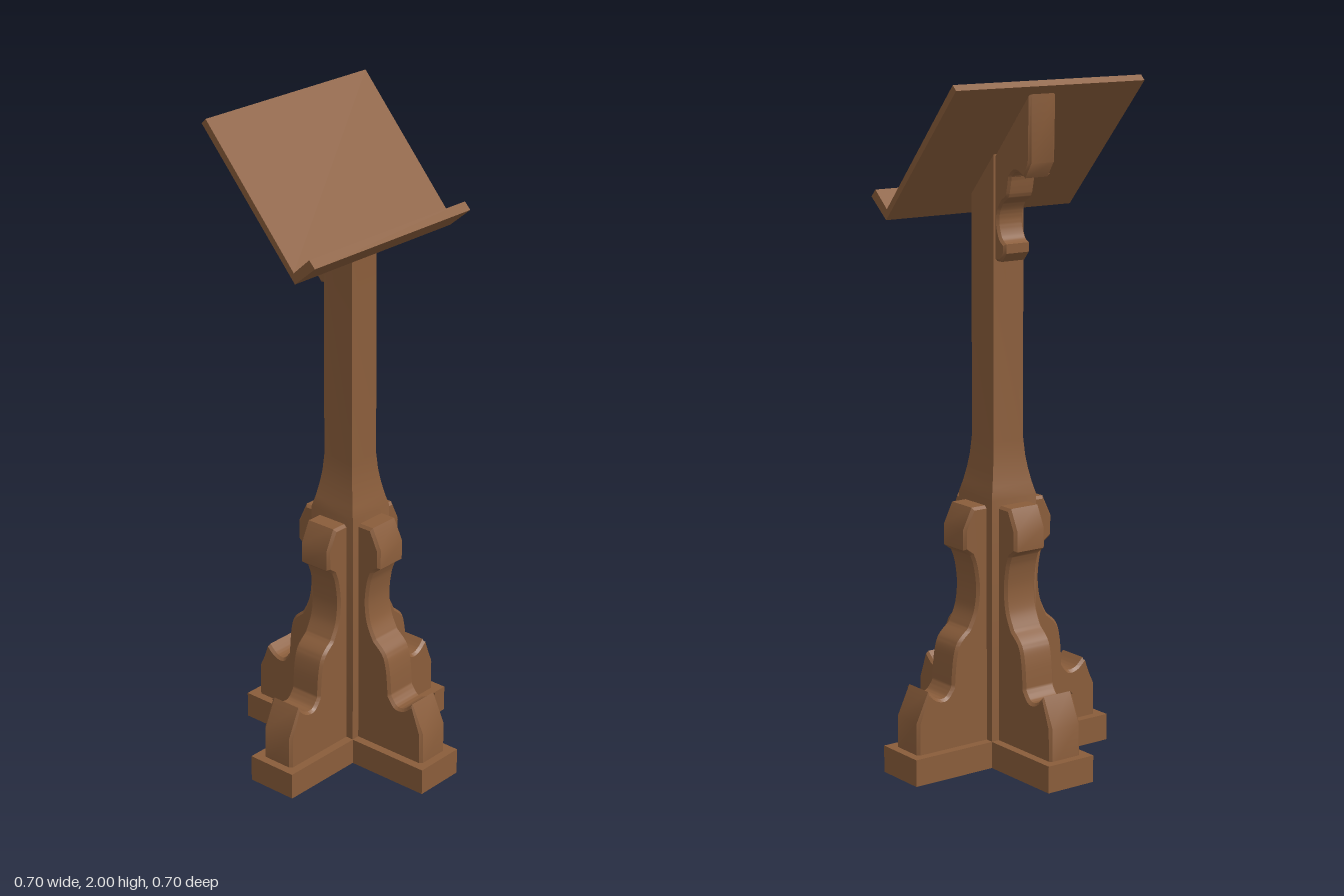
import * as THREE from 'three';
import { toCreasedNormals } from 'three/addons/utils/BufferGeometryUtils.js';

const v = (x, y) => new THREE.Vector2(x, y);

// Height of the underside of the sloping desk at depth z
const deskUnderside = (z) => 1.605 + (0.108 - z) * 1.134;

// Extrudes a profile along z from z0 to z1, with an optional inset bevel
function slab(shape, z0, z1, bevel = 0) {
  const geo = new THREE.ExtrudeGeometry(shape, {
    depth: z1 - z0 - 2 * bevel,
    bevelEnabled: bevel > 0,
    bevelSize: bevel,
    bevelThickness: bevel,
    bevelOffset: -bevel,
    bevelSegments: 1,
    curveSegments: 5,
  });
  geo.translate(0, 0, z0 + bevel);
  return toCreasedNormals(geo, 0.6);
}

// Scrolled foot bracket: x is the distance from the post axis
function footProfile() {
  const s = new THREE.Shape();
  s.moveTo(0.04, 0.06);
  s.lineTo(0.325, 0.06);
  s.lineTo(0.324, 0.175);
  s.lineTo(0.283, 0.262);
  s.splineThru([v(0.255, 0.238), v(0.225, 0.234), v(0.202, 0.26)]);
  s.splineThru([v(0.195, 0.34), v(0.18, 0.39), v(0.143, 0.425)]);
  s.splineThru([v(0.12, 0.475), v(0.112, 0.54), v(0.12, 0.605), v(0.133, 0.642)]);
  s.lineTo(0.158, 0.66);
  s.lineTo(0.158, 0.72);
  s.lineTo(0.128, 0.782);
  s.lineTo(0.04, 0.782);
  return s;
}

// Scrolled bracket under the desk: x is the distance behind the post axis
function deskBracketProfile() {
  const s = new THREE.Shape();
  s.moveTo(0.03, 1.485);
  s.lineTo(0.074, 1.485);
  s.lineTo(0.095, 1.51);
  s.lineTo(0.095, 1.537);
  s.splineThru([v(0.075, 1.552), v(0.062, 1.59), v(0.065, 1.625), v(0.083, 1.655)]);
  s.splineThru([v(0.104, 1.67), v(0.112, 1.695), v(0.118, 1.728)]);
  s.splineThru([v(0.135, 1.743), v(0.155, 1.743), v(0.18, 1.73)]);
  s.lineTo(0.207, 1.772);
  s.lineTo(0.207, deskUnderside(-0.207) + 0.004);
  s.lineTo(0.03, deskUnderside(-0.03) + 0.004);
  return s;
}

export function createModel() {
  const model = new THREE.Group();
  model.name = 'lectern';
  const wood = new THREE.MeshStandardMaterial({ color: 0x8a5d3b });
  wood.name = 'brown wood';

  const add = (name, geo, parent = model) => {
    const mesh = new THREE.Mesh(geo, wood);
    mesh.name = name;
    parent.add(mesh);
    return mesh;
  };

  // Cross-shaped base
  const w = 0.081, r = 0.35;
  const cross = new THREE.Shape([
    v(w, w), v(w, r), v(-w, r), v(-w, w), v(-r, w), v(-r, -w),
    v(-w, -w), v(-w, -r), v(w, -r), v(w, -w), v(r, -w), v(r, w),
  ]);
  add('crossBase', slab(cross, 0, 0.08).rotateX(-Math.PI / 2));

  // Square post with a flare, cut at the top to the slope of the desk
  const half = [
    [0.08, 0.07], [0.08, 0.8], [0.071, 0.835], [0.063, 0.875],
    [0.057, 0.915], [0.053, 0.965], [0.052, 1.7],
  ];
  const postGeo = new THREE.LatheGeometry(
    half.map(([h, y]) => v(h * Math.SQRT2, y)), 4, Math.PI / 4);
  const p = postGeo.attributes.position;
  for (let i = 0; i < p.count; i++) {
    if (p.getY(i) > 1.6) p.setY(i, deskUnderside(p.getZ(i)) + 0.004);
  }
  add('post', toCreasedNormals(postGeo, 0.5));

  // Four foot brackets around the post
  const feet = new THREE.Group();
  feet.name = 'footBrackets';
  model.add(feet);
  const footGeo = slab(footProfile(), -0.055, 0.055, 0.008);
  for (let i = 0; i < 4; i++) {
    add('footBracket', footGeo, feet).rotation.y = (i * Math.PI) / 2;
  }

  // Bracket behind the post, carrying the desk
  add('deskBracket', slab(deskBracketProfile(), -0.046, 0.046, 0.007).rotateY(Math.PI / 2));

  // Sloping desk with its book ledge
  const desk = new THREE.Shape([
    v(-0.108, 1.605), v(0.227, 1.985), v(0.212, 2),
    v(-0.104, 1.636), v(-0.16, 1.686), v(-0.18, 1.665),
  ]);
  add('deskAndLedge', slab(desk, -0.347, 0.308).rotateY(Math.PI / 2));

  return model;
}
